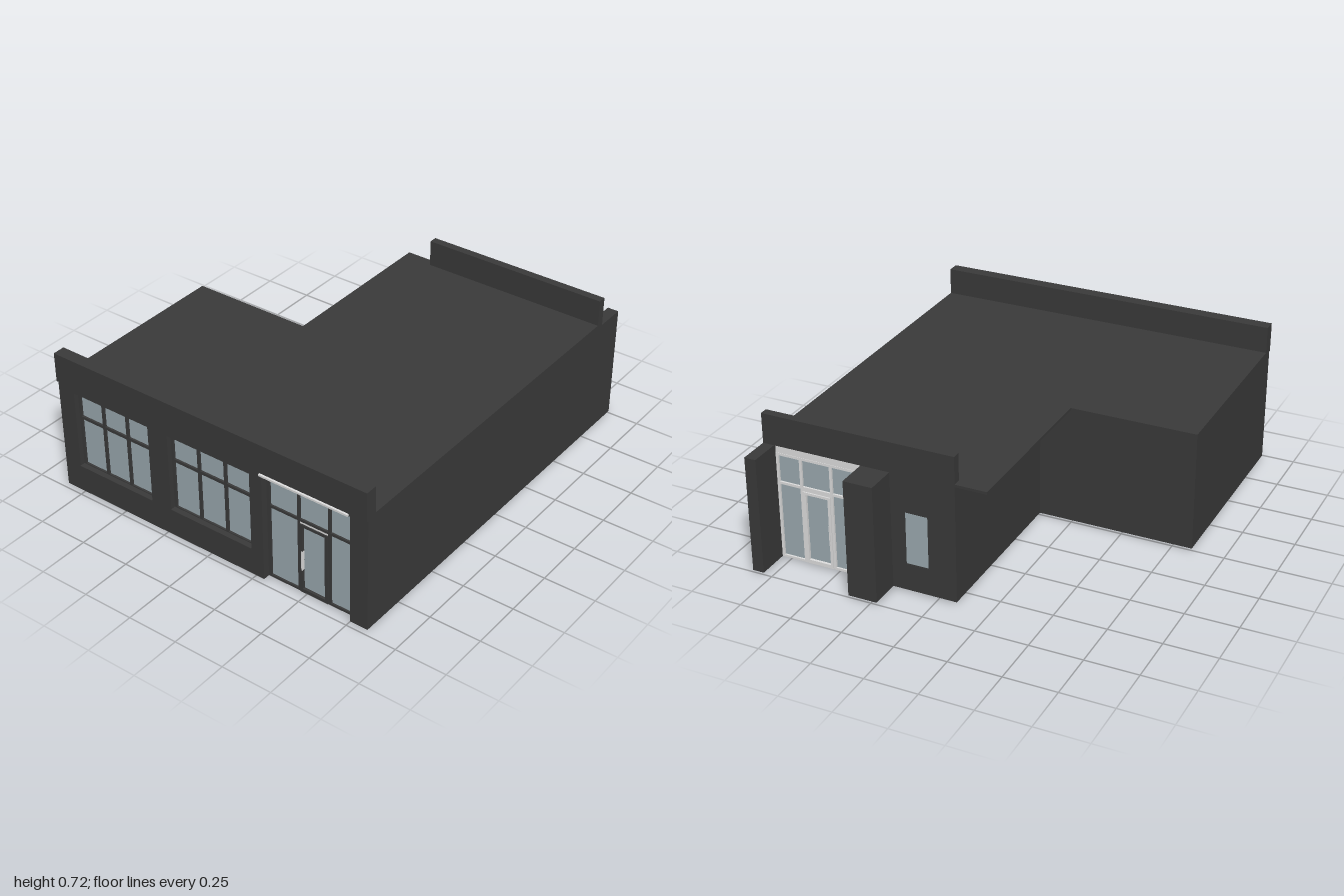
import * as THREE from 'three';

const mat = (name, color) => new THREE.MeshStandardMaterial({ name, color, side: THREE.DoubleSide });

export function createModel() {
  const model = new THREE.Group();
  model.name = 'shopBuilding';
  const wallMat = mat('charcoalWall', 0x3a3a3a);
  const floorMat = mat('greyFloor', 0x5d5d5d);
  const glassMat = mat('windowGlass', 0x9baab0);
  const metalMat = mat('paleMetal', 0xdedede);

  const add = (parent, name, geometry, material) => {
    const mesh = new THREE.Mesh(geometry, material);
    mesh.name = name;
    parent.add(mesh);
    return mesh;
  };
  // Box given by its limits on each axis
  const box = (parent, name, material, x0, x1, y0, y1, z0, z1) => {
    const m = add(parent, name, new THREE.BoxGeometry(x1 - x0, y1 - y0, z1 - z0), material);
    m.position.set((x0 + x1) / 2, (y0 + y1) / 2, (z0 + z1) / 2);
    return m;
  };
  const shapeOf = (pts, Type = THREE.Shape) => new Type(pts.map(([x, y]) => new THREE.Vector2(x, y)));
  const rect = ([x0, x1, y0, y1]) => [[x0, y0], [x0, y1], [x1, y1], [x1, y0]];
  const extrude = (pts, holes, depth) => {
    const shape = shapeOf(pts);
    holes.forEach((h) => shape.holes.push(shapeOf(rect(h), THREE.Path)));
    return new THREE.ExtrudeGeometry(shape, { depth, bevelEnabled: false });
  };
  // Flat plate from a plan outline in (x, -z)
  const plate = (name, material, pts, y0, y1) => {
    const g = extrude(pts, [], y1 - y0).rotateX(-Math.PI / 2);
    add(model, name, g, material).position.y = y0;
  };
  // Wall with a doorway open at the bottom and window holes
  const facade = (name, x0, x1, door, holes, z0, z1) => {
    const pts = [[x0, 0.01], [door[0], 0.01], [door[0], 0.575], [door[1], 0.575],
      [door[1], 0.01], [x1, 0.01], [x1, 0.58], [x0, 0.58]];
    add(model, name, extrude(pts, holes, z1 - z0), wallMat).position.z = z0;
  };

  // Floor, with the raised dark floor of the rear rooms, and roof
  plate('floorSlab', floorMat, [[-0.79, -0.93], [0.79, -0.93], [0.79, 0.81], [0.13, 0.81], [0.13, 0.38],
    [0.38, 0.38], [0.38, 0.06], [0.1, 0.06], [0.1, -0.05], [-0.79, -0.05]], 0, 0.012);
  plate('rearRoomFloor', wallMat, [[-0.04, -0.05], [0.1, -0.05], [0.1, 0.06], [0.38, 0.06], [0.38, 0.38],
    [0.13, 0.38], [0.13, 0.81], [-0.04, 0.81]], 0.01, 0.018);
  plate('roof', wallMat, [[-0.845, -0.98], [0.845, -0.98], [0.845, 0.85], [-0.24, 0.85], [-0.24, 0], [-0.845, 0]],
    0.578, 0.59);

  // Walls
  const windows = [[-0.755, -0.325, 0.14, 0.54], [-0.215, 0.235, 0.14, 0.54]];
  const backWindow = [0.04, 0.155, 0.14, 0.4];
  facade('frontWall', -0.845, 0.845, [0.3, 0.755], windows, 0.93, 0.98);
  facade('backWall', -0.09, 0.845, [0.36, 0.79], [backWindow], -0.85, -0.81);
  box(model, 'leftWall', wallMat, 0.79, 0.845, 0.01, 0.58, -0.81, 0.93);
  box(model, 'rightWall', wallMat, -0.845, -0.79, 0.01, 0.58, 0, 0.93);
  box(model, 'innerBackWall', wallMat, -0.79, -0.04, 0.01, 0.58, 0, 0.05);
  box(model, 'innerSideWall', wallMat, -0.09, -0.04, 0.01, 0.58, -0.81, 0);

  // Parapets and rear piers
  box(model, 'frontParapet', wallMat, -0.845, 0.845, 0.575, 0.72, 0.93, 0.99);
  box(model, 'backParapet', wallMat, -0.09, 0.845, 0.575, 0.72, -0.85, -0.81);
  box(model, 'rearPier', wallMat, 0.22, 0.36, 0.01, 0.575, -1, -0.85);
  box(model, 'rearWingWall', wallMat, 0.79, 0.845, 0.01, 0.575, -1, -0.85);

  // Three-column shop windows with a transom
  for (const [x0, x1, y0, y1] of windows) {
    const g = new THREE.Group();
    g.name = 'shopWindow';
    model.add(g);
    box(g, 'windowPane', glassMat, x0, x1, y0, y1, 0.94, 0.946);
    for (let i = 0; i <= 3; i++) {
      const x = x0 + 0.006 + (i / 3) * (x1 - x0 - 0.012);
      box(g, 'windowMullion', wallMat, x - 0.007, x + 0.007, y0, y1, 0.935, 0.956);
    }
    for (const y of [y0 + 0.006, 0.403, y1 - 0.007]) {
      box(g, 'windowRail', wallMat, x0, x1, y - 0.007, y + 0.007, 0.935, 0.956);
    }
    box(g, 'windowSill', wallMat, x0, x1, y0 - 0.003, y0 + 0.008, 0.94, 0.983);
  }

  // Glazed entrance: side lights, transom lights and a centre door; s is the outward side
  const entrance = (name, x0, w, z, s, frameMat) => {
    const g = new THREE.Group();
    g.name = name;
    g.position.set(x0, 0, z);
    g.scale.z = s;
    model.add(g);
    const k = w / 0.455;
    const bar = (n, a, b, y0, y1, d = 0.012, m = frameMat) => box(g, n, m, a * k, b * k, y0, y1, -0.01, d);
    box(g, 'entranceGlass', glassMat, 0, w, 0.012, 0.535, -0.003, 0.003);
    bar('leftJamb', 0, 0.016, 0.01, 0.535);
    bar('rightJamb', 0.442, 0.455, 0.01, 0.535);
    bar('postA', 0.16, 0.173, 0.01, 0.535);
    bar('postB', 0.319, 0.332, 0.01, 0.535);
    bar('threshold', 0, 0.455, 0.01, 0.021);
    bar('transom', 0, 0.455, 0.383, 0.395);
    bar('headRail', 0, 0.455, 0.525, 0.537);
    bar('doorStileA', 0.173, 0.187, 0.012, 0.372, 0.016);
    bar('doorStileB', 0.303, 0.319, 0.012, 0.372, 0.016);
    bar('doorBottomRail', 0.173, 0.319, 0.012, 0.03, 0.016);
    bar('doorTopRail', 0.173, 0.319, 0.36, 0.372, 0.016);
    bar('doorTopStrip', 0.173, 0.319, 0.372, 0.383, 0.01, metalMat);
    bar('doorHandle', 0.182, 0.187, 0.13, 0.23, 0.019, metalMat);
    bar('headPanel', 0, 0.455, 0.537, 0.575, 0.01);
  };
  entrance('frontEntrance', 0.3, 0.455, 0.935, 1, wallMat);
  entrance('rearEntrance', 0.36, 0.43, -0.83, -1, metalMat);
  box(model, 'entranceCanopyStrip', metalMat, 0.3, 0.755, 0.569, 0.578, 0.94, 1);

  // Small rear window
  const [a, b, c, d] = backWindow;
  box(model, 'rearWindowGlass', glassMat, a, b, c, d, -0.848, -0.842);
  for (const x of [a, b - 0.004]) box(model, 'rearWindowSide', wallMat, x, x + 0.004, c, d, -0.849, -0.83);
  for (const y of [c, d - 0.004]) box(model, 'rearWindowRail', wallMat, a, b, y, y + 0.004, -0.849, -0.83);

  return model;
}
